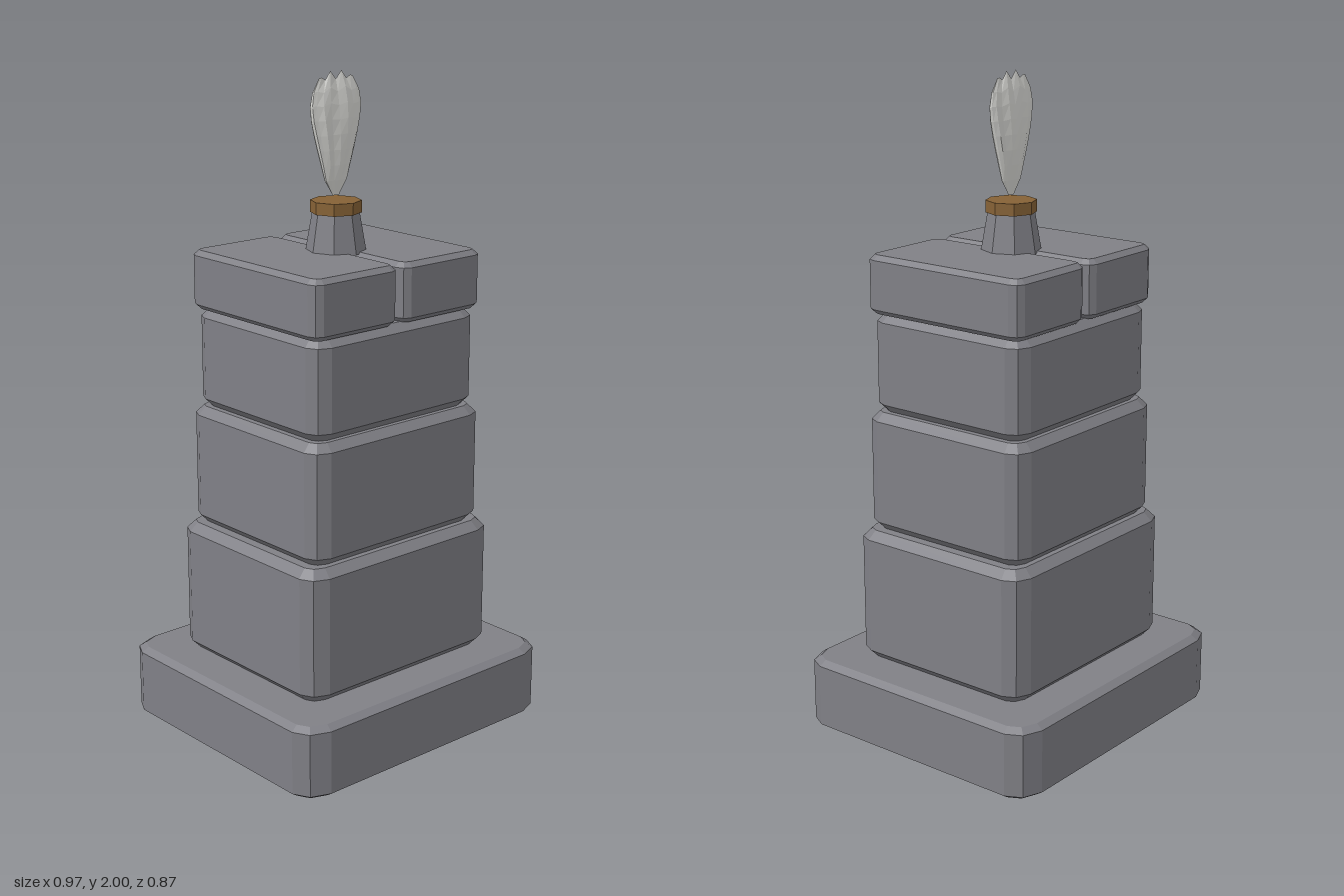
import * as THREE from 'three';

const mat = (name, color, extra = {}) => {
  const m = new THREE.MeshStandardMaterial({ color, flatShading: true, ...extra });
  m.name = name;
  return m;
};

// Stone block with clipped corners and bevelled top and bottom edges
function blockGeometry(w, d, y0, y1, cx, cz, inset, rise) {
  const corner = [[w - cx, d], [w - 0.3 * cx, d - 0.32 * cz], [w, d - cz]];
  const back = [...corner].reverse();
  const points = [
    ...corner,
    ...back.map(([x, z]) => [x, -z]),
    ...corner.map(([x, z]) => [-x, -z]),
    ...back.map(([x, z]) => [-x, z]),
  ].map(([x, z]) => new THREE.Vector2(x, z));
  const geo = new THREE.ExtrudeGeometry(new THREE.Shape(points), {
    depth: y1 - y0 - 2 * rise,
    bevelEnabled: true, bevelSegments: 1,
    bevelSize: inset, bevelOffset: -inset, bevelThickness: rise,
  });
  geo.rotateX(-Math.PI / 2);
  geo.translate(0, y0 + rise, 0);
  return geo;
}

// Flat, lens-shaped plume with a scalloped top edge
function plumeGeometry() {
  const widths = [0.012, 0.042, 0.055, 0.069, 0.082, 0.093, 0.098, 0.09, 0.068];
  const rows = widths.length - 1;
  const geo = new THREE.CylinderGeometry(1, 1, 1, 20, rows, true);
  const pos = geo.attributes.position;
  for (let i = 0; i < pos.count; i++) {
    const t = pos.getY(i) + 0.5;
    const x = pos.getX(i);
    const side = pos.getZ(i);
    const ridge = 0.88 + 0.12 * Math.cos(x * 14 + t * 3);
    const thickness = 0.025 * Math.pow(Math.sin(Math.PI * t), 0.8) * ridge;
    const scallop = 0.012 * (1 + Math.cos(x * 10)) + 0.025 * Math.pow(Math.abs(x), 6);
    pos.setXYZ(i,
      x * widths[Math.round(t * rows)],
      1.64 + 0.36 * t - scallop * t ** 4,
      Math.abs(side) < 1e-6 ? 0 : side * thickness || 0);
  }
  geo.computeVertexNormals();
  return geo;
}

export function createModel() {
  const model = new THREE.Group();
  const stone = mat('grey stone', 0x808086);
  const brown = mat('brown band', 0x866236);
  const white = mat('pale plume', 0xdcdcd8, { side: THREE.DoubleSide });

  const add = (name, geo, material, x = 0, y = 0) => {
    const mesh = new THREE.Mesh(geo, material);
    mesh.name = name;
    mesh.position.set(x, y, 0);
    model.add(mesh);
  };

  // Plinth and three stacked, narrowing tiers
  add('plinth', blockGeometry(0.485, 0.434, 0, 0.225, 0.085, 0.072, 0.022, 0.015), stone);
  add('lowerTier', blockGeometry(0.366, 0.315, 0.225, 0.638, 0.065, 0.058, 0.026, 0.026), stone);
  add('middleTier', blockGeometry(0.334, 0.295, 0.638, 1.005, 0.058, 0.052, 0.024, 0.025), stone);
  add('upperTier', blockGeometry(0.316, 0.28, 1.005, 1.305, 0.055, 0.05, 0.024, 0.025), stone);

  // Capstone split into two halves
  for (const s of [-1, 1]) {
    add(s > 0 ? 'leftCapstone' : 'rightCapstone',
      blockGeometry(0.159, 0.285, 1.303, 1.48, 0.03, 0.035, 0.015, 0.015), stone, s * 0.166);
  }

  // Octagonal spout with a band on top
  add('spout', new THREE.CylinderGeometry(0.07, 0.09, 0.115, 8), stone, 0, 1.5325);
  add('spoutBand', new THREE.CylinderGeometry(0.076, 0.076, 0.036, 8), brown, 0, 1.608);

  add('plume', plumeGeometry(), white);
  return model;
}
